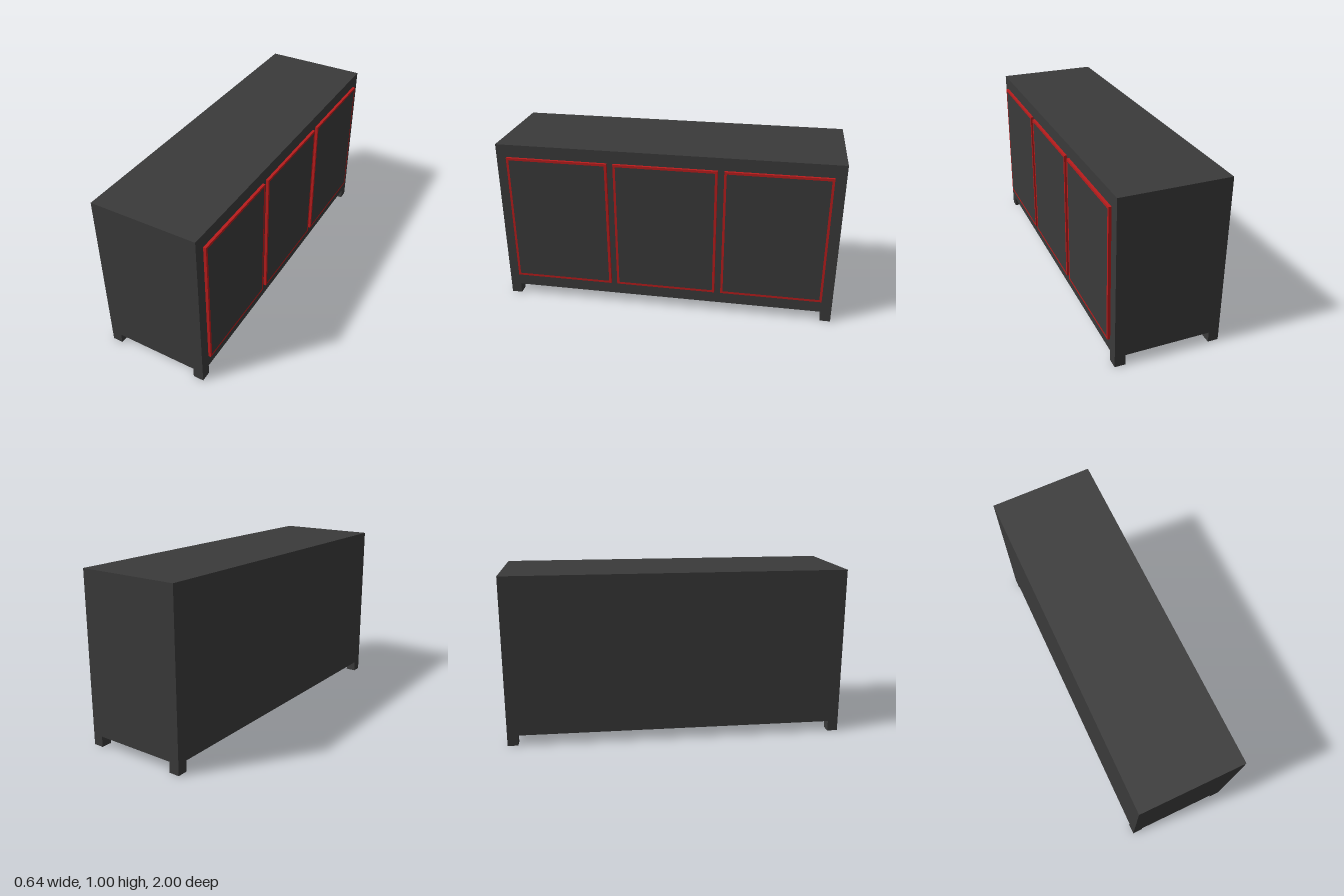
import * as THREE from 'three';

export function createModel() {
  const model = new THREE.Group();
  const dark = new THREE.MeshStandardMaterial({ color: 0x3a3a3a });
  const red = new THREE.MeshStandardMaterial({ color: 0xb81c1c });

  // Box given by its lower and upper corners
  function box(name, lo, hi, material, parent = model) {
    const size = hi.map((v, i) => v - lo[i]);
    const mesh = new THREE.Mesh(new THREE.BoxGeometry(...size), material);
    mesh.position.set(...hi.map((v, i) => (v + lo[i]) / 2));
    mesh.name = name;
    parent.add(mesh);
    return mesh;
  }

  const back = -0.318, front = 0.302, base = 0.0625, leg = 0.0615;

  // Cabinet carcass
  box('cabinetBody', [back, base, -1], [front, 1, 1], dark);

  // Four short square legs, flush with the corners
  for (const x of [back, front - leg]) {
    for (const z of [-1, 1 - leg]) {
      box('leg', [x, 0, z], [x + leg, base, z + leg], dark);
    }
  }

  // Three doors on the +x side: red edging around a flush dark panel
  const width = 0.6, height = 0.786, depth = 0.016, rim = 0.014;
  const rect = (path, w, h) => path.moveTo(-w, -h).lineTo(w, -h).lineTo(w, h).lineTo(-w, h).closePath();
  const outline = rect(new THREE.Shape(), width / 2, height / 2);
  outline.holes.push(rect(new THREE.Path(), width / 2 - rim, height / 2 - rim));
  const edging = new THREE.ExtrudeGeometry(outline, { depth, bevelEnabled: false });

  for (const z of [-0.637, 0, 0.637]) {
    const door = new THREE.Group();
    door.name = 'door';
    const frame = new THREE.Mesh(edging, red);
    frame.name = 'doorEdging';
    door.add(frame);
    const w = width / 2 - rim, h = height / 2 - rim;
    box('doorPanel', [-w, -h, 0], [w, h, depth], dark, door);
    door.rotation.y = Math.PI / 2;
    door.position.set(front, 0.532, z);
    model.add(door);
  }

  return model;
}
